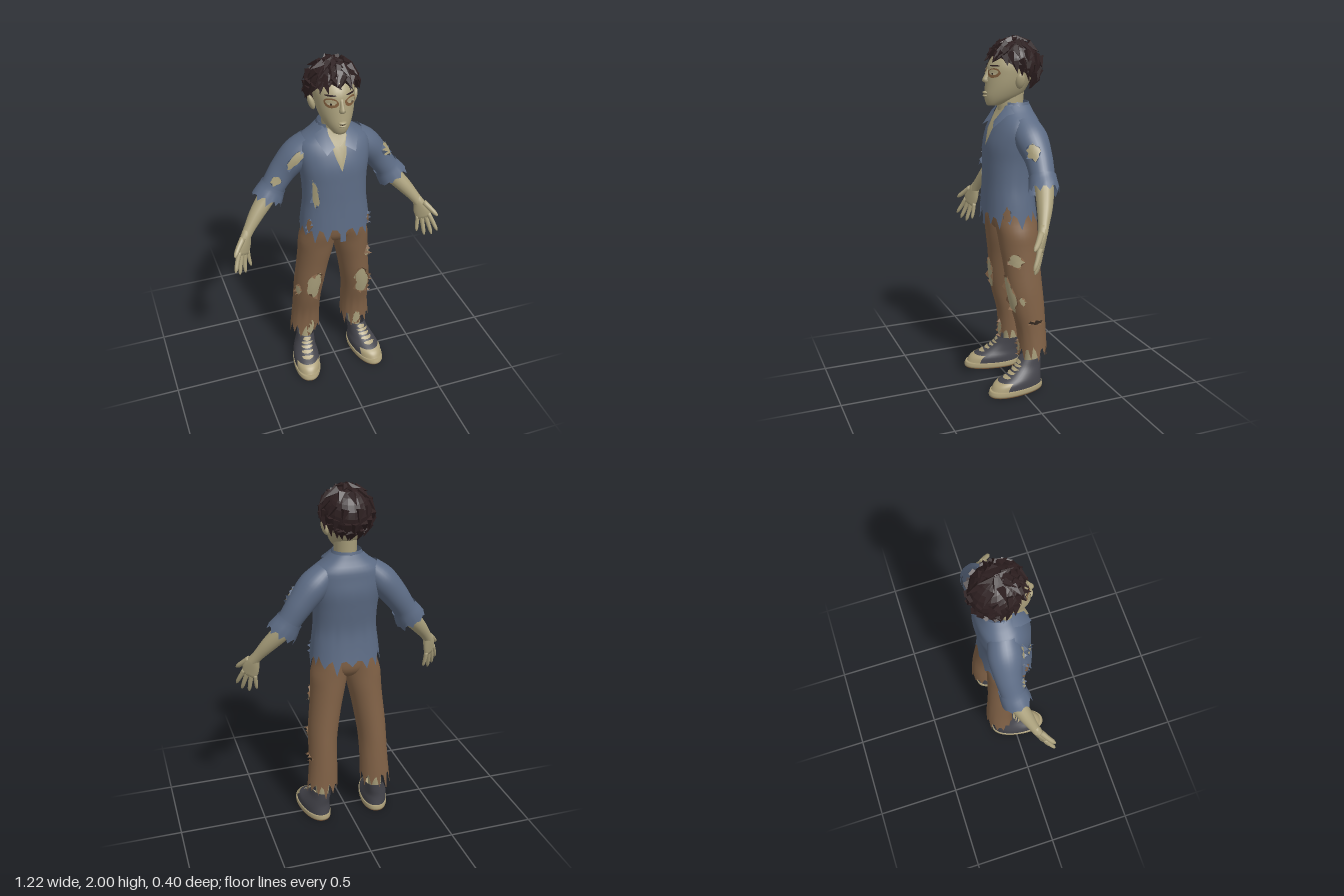
import * as THREE from 'three';
import { mergeGeometries } from 'three/addons/utils/BufferGeometryUtils.js';

const mat = (name, color) => new THREE.MeshStandardMaterial({ name, color, side: THREE.DoubleSide });
const M = {
  skin: mat('skin', 0xaaa07c), shirt: mat('shirt blue', 0x5c6b84), pants: mat('trouser brown', 0x806146),
  hair: mat('hair', 0x2d1f20), shoe: mat('shoe grey', 0x45454c), sole: mat('rubber', 0xada07a),
  rim: mat('eye rim', 0x7e5c3c), eye: mat('eye', 0xb5ab8a), dark: mat('dark', 0x33281f),
};

let seed = 7;
const rnd = () => (seed = (seed * 16807) % 2147483647) / 2147483647;
const V3 = (x, y, z) => new THREE.Vector3(x, y, z);

function add(parent, name, geo, material) {
  const m = new THREE.Mesh(geo, material);
  m.name = name;
  parent.add(m);
  return m;
}

// Grid of points fn(rowFraction, columnFraction, column), optionally closed around
function grid(fn, nu, nv, closed = true) {
  const cols = closed ? nv : nv + 1, pos = [], idx = [];
  for (let i = 0; i <= nu; i++) for (let j = 0; j < cols; j++) pos.push(...fn(i / nu, j / nv, j).toArray());
  for (let i = 0; i < nu; i++) for (let j = 0; j < nv; j++) {
    const k = (j + 1) % cols, a = i * cols + j, c = i * cols + k;
    idx.push(a, a + cols, c, a + cols, c + cols, c);
  }
  const g = new THREE.BufferGeometry();
  g.setAttribute('position', new THREE.Float32BufferAttribute(pos, 3));
  g.setIndex(idx);
  g.computeVertexNormals();
  return g;
}

// Smooth body through rings [y, x, z, halfWidth, halfDepth]; angle 90 degrees is the front
function surface(rings, { flat = true, side = 1, pow = 1 } = {}) {
  const n = rings.length;
  const slope = (i, k) => {
    const a = rings[Math.max(i - 1, 0)], b = rings[Math.min(i + 1, n - 1)];
    return (b[k] - a[k]) / (b[0] - a[0]);
  };
  const val = (y, k) => {
    if (y <= rings[0][0]) return rings[0][k] + slope(0, k) * (y - rings[0][0]);
    if (y >= rings[n - 1][0]) return rings[n - 1][k] + slope(n - 1, k) * (y - rings[n - 1][0]);
    let i = 0;
    while (y > rings[i + 1][0]) i++;
    const h = rings[i + 1][0] - rings[i][0], t = (y - rings[i][0]) / h, u = 1 - t;
    return rings[i][k] * (1 + 2 * t) * u * u + slope(i, k) * h * t * u * u
      + rings[i + 1][k] * t * t * (3 - 2 * t) - slope(i + 1, k) * h * t * t * u;
  };
  const at = (y, ang, off = 0, k = 1) => {
    const e = 0.005, T = V3(0, 1, 0);
    if (!flat) T.set(side * (val(y + e, 1) - val(y - e, 1)), 2 * e, val(y + e, 2) - val(y - e, 2)).normalize();
    const V = V3(0, 0, 1).addScaledVector(T, -T.z).normalize(), U = T.clone().cross(V);
    const f = (c) => Math.sign(c) * Math.abs(c) ** pow;
    return V3(side * val(y, 1), y, val(y, 2))
      .addScaledVector(U, k * (val(y, 3) + off) * f(Math.cos(ang)))
      .addScaledVector(V, k * (val(y, 4) + off) * f(Math.sin(ang)));
  };
  return { at, radius: (y) => (val(y, 3) + val(y, 4)) / 2 };
}

// Skin over a surface, with an optional torn lower edge
function loft(S, y0, y1, rows, cols, { rag = 0, flare = 0, off = 0, cap = false, arc } = {}) {
  const teeth = Array.from({ length: cols + 1 }, (_, j) => rag * (j % 3 === 0 ? 0.45 + 0.55 * rnd() : 0.35 * rnd()));
  const [a0, a1] = arc || [0, 360];
  return grid((s, u, j) => {
    const ang = THREE.MathUtils.degToRad(a0 + (a1 - a0) * u), w = (1 - s) ** 2;
    const k = cap && (s === 0 || s === 1) ? 0 : 1;
    const t = cap ? THREE.MathUtils.clamp((s * rows - 1) / (rows - 2), 0, 1) : s;
    return S.at(y0 + (y1 - y0) * t - teeth[j] * w, ang, off + flare * w, k);
  }, rows, cols, !arc);
}

// Thin plate lying on a surface; outline is jagged unless jag = 0, or given as [degrees, y] points
function patch(parent, name, S, y, deg, w, h, material, { jag = 0.45, off = 0.006, flap, outline } = {}) {
  const n = outline ? outline.length : 16, R = S.radius(y), a = THREE.MathUtils.degToRad(deg);
  const edge = Array.from({ length: n }, (_, k) => {
    if (outline) return [THREE.MathUtils.degToRad(outline[k][0]), outline[k][1] - y];
    const r = 1 - jag * rnd(), t = -k / n * Math.PI * 2;
    return [w / 2 / R * r * Math.cos(t), h / 2 * r * Math.sin(t)];
  });
  const p = (k, s, o) => S.at(y + edge[k % n][1] * s, a + edge[k % n][0] * s, o);
  add(parent, name, grid((s, u, j) => p(j, s, off), 4, n), material);
  if (!flap) return;
  // Torn cloth points standing up around the hole
  const pos = [];
  for (let k = 0; k < n; k += 2) pos.push(...p(k, 1.08, 0), ...p(k + 1, 0.85 + 0.3 * rnd(), 0.009 + 0.02 * rnd()), ...p(k + 2, 1.08, 0));
  const g = new THREE.BufferGeometry();
  g.setAttribute('position', new THREE.Float32BufferAttribute(pos, 3));
  g.computeVertexNormals();
  add(parent, name + ' torn edge', g, flap);
}

function ball(parent, name, [x, y, z], [sx, sy, sz], material, tilt = 0) {
  const m = add(parent, name, new THREE.SphereGeometry(1, 14, 10), material);
  m.position.set(x, y, z);
  m.scale.set(sx, sy, sz);
  m.rotation.z = tilt;
}

function buildHead(root) {
  const g = new THREE.Group();
  g.name = 'head';
  root.add(g);
  const S = surface([[1.63, 0, .085, .033, .035], [1.65, 0, .06, .053, .068], [1.68, 0, .03, .074, .103], [1.73, 0, .008, .094, .12],
    [1.79, 0, -.01, .106, .13], [1.85, 0, -.02, .108, .128], [1.91, 0, -.036, .09, .098], [1.94, 0, -.04, .05, .055]]);
  add(g, 'face', loft(S, 1.63, 1.94, 22, 32, { cap: true }), M.skin);
  add(g, 'neck', loft(surface([[1.48, 0, -.02, .072, .07], [1.58, 0, -.015, .062, .07], [1.72, 0, -.02, .062, .075]]), 1.48, 1.72, 6, 20), M.skin);
  add(g, 'nose', loft(surface([[1.748, 0, .115, .011, .012], [1.762, 0, .122, .019, .027], [1.78, 0, .118, .013, .023], [1.825, 0, .107, .01, .011]]),
    1.748, 1.825, 8, 12, { cap: true }), M.skin);
  for (const y of [1.699, 1.682]) ball(g, 'lip', [0, y, .122], [.024, .009, .023], M.skin);
  ball(g, 'mouth', [0, 1.69, .12], [.018, .002, .022], M.dark);
  for (const s of [1, -1]) {
    const d = 90 - s * 29, o = (off) => ({ jag: 0, off });
    patch(g, 'eye rim', S, 1.806, d, .092, .056, M.rim, { jag: .12, off: .003 });
    patch(g, 'eyelid', S, 1.812, d, .064, .026, M.skin, o(.005));
    patch(g, 'eyeball', S, 1.803, d, .046, .013, M.eye, o(.007));
    patch(g, 'pupil', S, 1.803, d, .011, .011, M.dark, o(.009));
    patch(g, 'eyebrow', S, 1.845, d, .066, .009, M.hair, o(.005));
    ball(g, 'ear', [s * .117, 1.765, -.026], [.017, .044, .026], M.skin, -s * .3);
  }
  // Hair cap and pointed locks running down from the crown
  const hair = (s, phi, lift = 1) => {
    const th = s * THREE.MathUtils.degToRad(101 - 38 * Math.sin(phi));
    return V3(Math.sin(th) * Math.cos(phi) * .135 * lift, 1.84 + Math.cos(th) * .138 * lift, -.04 + Math.sin(th) * Math.sin(phi) * .144 * lift);
  };
  const parts = [grid((s, u) => hair(1 - s, u * Math.PI * 2), 9, 24).toNonIndexed()];
  for (const [s, n] of [[.1, 6], [.32, 9], [.58, 14], [.8, 18], [.95, 22]]) for (let i = 0; i < n; i++) {
    const phi = (i + rnd() * .7) / n * Math.PI * 2, p = hair(s, phi);
    const dir = hair(s + .05, phi + .1 * (rnd() - .5)).sub(p).normalize();
    dir.addScaledVector(hair(s, phi, 1.5).sub(p).normalize(), .1 + .25 * rnd()).normalize();
    const len = .06 + .025 * rnd(), c = new THREE.ConeGeometry(.024, len, 4, 1).toNonIndexed();
    c.deleteAttribute('uv');
    c.applyQuaternion(new THREE.Quaternion().setFromUnitVectors(V3(0, 1, 0), dir));
    c.translate(...p.addScaledVector(dir, len * .2));
    parts.push(c);
  }
  const all = mergeGeometries(parts);
  all.computeVertexNormals();
  add(g, 'hair', all, M.hair);
}

function buildShirt(root) {
  const S = surface([[.95, 0, -.005, .2, .147], [1.1, 0, 0, .186, .136], [1.2, 0, 0, .176, .132], [1.32, 0, -.01, .18, .14], [1.42, 0, -.02, .194, .145],
    [1.5, 0, -.03, .202, .13], [1.55, 0, -.04, .185, .115], [1.59, 0, -.042, .13, .095], [1.63, 0, -.042, .085, .08]], { pow: .88 });
  add(root, 'shirt body', loft(S, 1.055, 1.63, 30, 48, { rag: .115, flare: .006 }), M.shirt);
  patch(root, 'open neck', S, 1.54, 90, 0, 0, M.skin, { outline: [[0, 1.41], [-7, 1.5], [-13, 1.57], [-30, 1.628], [0, 1.628], [30, 1.628], [13, 1.57], [7, 1.5]] });
  add(root, 'button strip', loft(S, .965, 1.42, 16, 3, { arc: [86, 93], off: .004 }), M.shirt);
  patch(root, 'chest tear', S, 1.27, 138, .055, .22, M.skin, { flap: M.shirt });
  patch(root, 'side tear', S, 1.07, 150, .05, .1, M.pants, { flap: M.shirt });
  patch(root, 'hem tear', S, 1.05, 28, .06, .1, M.pants, { flap: M.shirt });
  // Collar band and pointed collar flaps
  add(root, 'collar band', loft(surface([[1.56, 0, -.042, .1, .088], [1.645, 0, -.04, .074, .074]]), 1.56, 1.645, 3, 24, { arc: [130, 410], off: .006 }), M.shirt);
  for (const s of [1, -1]) {
    const pts = [[.074, 1.648, -.03], [.063, 1.628, .035], [.028, 1.545, .093], [.08, 1.515, .118], [.118, 1.585, .048], [.11, 1.6, -.04]];
    const g = new THREE.BufferGeometry();
    g.setAttribute('position', new THREE.Float32BufferAttribute(pts.flatMap(([x, y, z]) => [s * x, y, z]), 3));
    const order = [0, 1, 5, 1, 4, 5, 1, 3, 4, 1, 2, 3];
    g.setIndex(s > 0 ? order : order.reverse());
    g.computeVertexNormals();
    add(root, 'collar flap', g, M.shirt);
  }
}

function buildArm(root, side) {
  const sleeve = surface([[1.19, .385, -.05, .074, .067], [1.24, .355, -.06, .072, .069], [1.28, .33, -.065, .066, .068], [1.37, .268, -.07, .074, .076],
    [1.46, .192, -.06, .082, .092], [1.53, .12, -.05, .066, .08]], { flat: false, side });
  add(root, 'sleeve', loft(sleeve, 1.23, 1.53, 18, 30), M.shirt);
  add(root, 'rolled cuff', loft(sleeve, 1.228, 1.285, 5, 30, { rag: .04, off: .007, flare: .007 }), M.shirt);
  if (side > 0) patch(root, 'sleeve tear', sleeve, 1.375, 40, .085, .085, M.skin, { flap: M.shirt });
  else {
    patch(root, 'shoulder tear', sleeve, 1.455, 108, .06, .11, M.skin, { flap: M.shirt });
    patch(root, 'elbow tear', sleeve, 1.32, 120, .06, .06, M.skin, { flap: M.shirt });
  }
  const fore = surface([[1.03, .522, .016, .029, .025], [1.07, .495, 0, .031, .029], [1.14, .44, -.03, .042, .041], [1.22, .37, -.06, .05, .05], [1.28, .33, -.065, .05, .05]], { flat: false, side });
  add(root, 'forearm', loft(fore, 1.03, 1.28, 12, 18), M.skin);

  // Hand: fingers along local -y, thumb on +x, palm on +z
  const pivot = new THREE.Group(), hand = new THREE.Group();
  pivot.name = 'hand pivot';
  hand.name = 'hand';
  pivot.scale.x = side;
  root.add(pivot);
  pivot.add(hand);
  const Y = V3(-.31, .92, -.21).normalize(), X = V3(.8, .3, .5).addScaledVector(Y, .077).normalize();
  hand.setRotationFromMatrix(new THREE.Matrix4().makeBasis(X, Y, X.clone().cross(Y)));
  hand.position.set(.513, 1.05, .012);
  add(hand, 'palm', loft(surface([[-.118, -.004, .004, .045, .014], [-.07, 0, .002, .049, .02], [-.03, 0, 0, .039, .024], [0, 0, 0, .029, .025], [.025, 0, 0, .02, .018]]), -.118, .025, 10, 16, { cap: true }), M.skin);
  for (const [bx, by, tx, ty, r] of [[-.036, -.1, -.07, -.188, .011], [-.014, -.105, -.034, -.224, .0125], [.01, -.105, .01, -.23, .0125], [.031, -.1, .05, -.214, .0125], [.028, -.02, .084, -.118, .015]]) {
    const ring = (t, k, z) => [ty + (by - ty) * t, tx + (bx - tx) * t, z, r * k, r * k];
    add(hand, 'finger', loft(surface([ring(0, .35, .022), ring(.12, .8, .019), ring(.5, 1, .01), ring(1, 1.15, .003)], { flat: false }), ty, by, 9, 9, { cap: true }), M.skin);
  }
}

function buildLeg(root, side) {
  const S = surface([[.16, .167, -.09, .088, .077], [.35, .157, -.083, .08, .08], [.5, .152, -.06, .08, .096], [.6, .143, -.047, .085, .102],
    [.75, .122, -.035, .092, .106], [.85, .107, -.026, .1, .112], [.92, .1, -.02, .104, .116], [1, .09, -.012, .092, .124], [1.06, .086, -.01, .087, .12]], { side });
  add(root, 'trouser leg', loft(S, .275, 1.06, 30, 36, { rag: .12, flare: .005 }), M.pants);
  add(root, 'shin', loft(surface([[.14, .166, -.083, .036, .042], [.25, .162, -.088, .042, .047], [.5, .152, -.06, .055, .06]], { side }), .14, .5, 8, 16), M.skin);
  const deg = (d) => side > 0 ? d : 180 - d, tear = { flap: M.pants };
  patch(root, 'knee tear', S, side > 0 ? .575 : .625, deg(side > 0 ? 80 : 90), .12, .23, M.skin, tear);
  patch(root, 'ankle tear', S, .25, deg(100), .05, .13, M.skin, tear);
  if (side > 0) {
    patch(root, 'thigh tear', S, .78, 35, .1, .09, M.skin, tear);
    patch(root, 'calf tear', S, .42, -5, .1, .03, M.dark, tear);
    patch(root, 'side knee tear', S, .55, 30, .04, .06, M.skin, tear);
  } else patch(root, 'outer knee tear', S, .57, 150, .05, .1, M.skin, tear);

  // Shoe, toe pointing slightly outwards
  const pivot = new THREE.Group(), shoe = new THREE.Group();
  pivot.name = 'shoe pivot';
  shoe.name = 'shoe';
  pivot.scale.x = side;
  root.add(pivot);
  pivot.add(shoe);
  shoe.position.x = .188;
  shoe.rotation.y = .16;
  const sole = surface([[0, 0, .027, .078, .168], [.012, 0, .028, .081, .172], [.036, 0, .025, .08, .166]], { pow: .9 });
  add(shoe, 'sole', loft(sole, .004, .036, 6, 36, { cap: true }), M.sole);
  add(shoe, 'outsole', loft(sole, 0, .006, 4, 36, { cap: true }), M.rim);
  const U = surface([[.03, 0, .022, .077, .16], [.07, 0, .01, .076, .143], [.1, 0, -.022, .066, .11], [.14, -.006, -.055, .056, .083], [.185, -.012, -.075, .053, .068]], { pow: .92 });
  add(shoe, 'upper', loft(U, .03, .185, 14, 32), M.shoe);
  add(shoe, 'toe cap', loft(U, .03, .08, 8, 24, { arc: [34, 146], off: .004 }), M.sole);
  for (const y of [.1, .118, .136, .154]) patch(shoe, 'lace', U, y, 90, .09, .014, M.sole, { jag: .2 });
  patch(shoe, 'tongue', U, .172, 90, .055, .024, M.sole, { jag: .2, off: .004 });
}

export function createModel() {
  seed = 7;
  const root = new THREE.Group();
  root.name = 'ragged man';
  buildHead(root);
  buildShirt(root);
  const hips = surface([[.895, 0, -.02, .03, .04], [.92, 0, -.02, .09, .08], [.96, 0, -.016, .16, .112], [1.02, 0, -.012, .172, .122], [1.1, 0, -.01, .165, .122]]);
  add(root, 'trouser seat', loft(hips, .895, 1.1, 12, 32, { cap: true }), M.pants);
  for (const side of [1, -1]) {
    buildArm(root, side);
    buildLeg(root, side);
  }
  return root;
}
